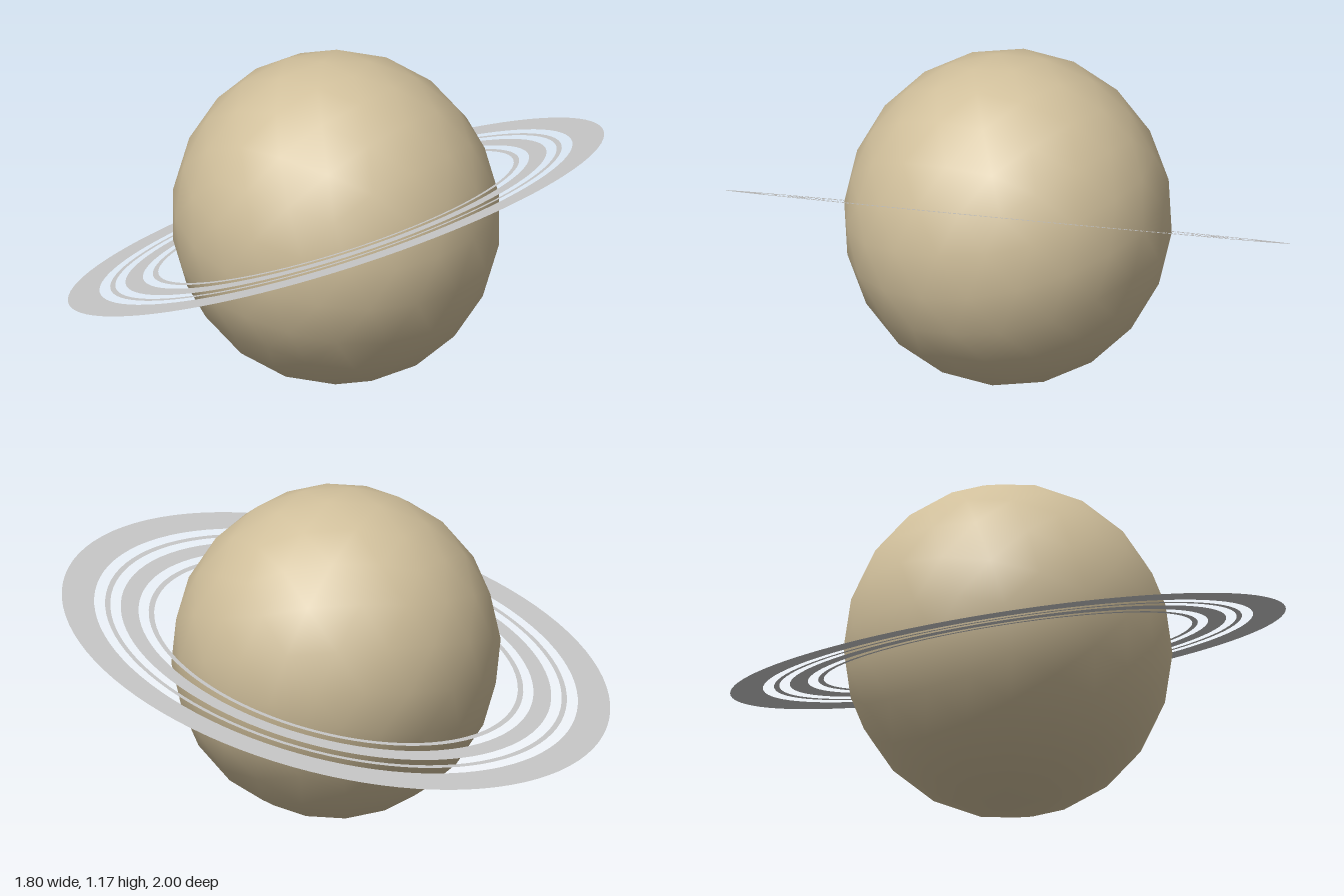
import * as THREE from 'three';

export function createModel() {
  const model = new THREE.Group();
  const sand = new THREE.MeshStandardMaterial({ color: 0xd0bf9b });
  sand.name = 'sand';
  const ice = new THREE.MeshStandardMaterial({ color: 0xc8c8c8, side: THREE.DoubleSide });
  ice.name = 'paleGrey';

  // Everything leans together about the planet's centre
  const tilted = new THREE.Group();
  tilted.name = 'tiltedPlanet';
  tilted.position.y = 0.585;
  tilted.rotation.set(0.104, 0, 0.308, 'ZXY');
  model.add(tilted);

  // Planet body: smooth-shaded geodesic ball, slightly longer along its axis
  const body = new THREE.Mesh(new THREE.IcosahedronGeometry(1, 3), sand);
  body.name = 'planetBody';
  body.scale.set(0.572, 0.588, 0.573);
  tilted.add(body);

  // Flat, slightly oval ring bands: [inner, outer] radius
  const rings = new THREE.Group();
  rings.name = 'rings';
  rings.scale.set(0.944, 1, 1.005);
  tilted.add(rings);
  const bands = [[0.663, 0.683], [0.72, 0.785], [0.823, 0.842], [0.882, 1]];
  bands.forEach(([inner, outer], i) => {
    const geometry = new THREE.RingGeometry(inner, outer, 96).rotateX(-Math.PI / 2);
    const band = new THREE.Mesh(geometry, ice);
    band.name = `ringBand${i + 1}`;
    rings.add(band);
  });
  return model;
}
